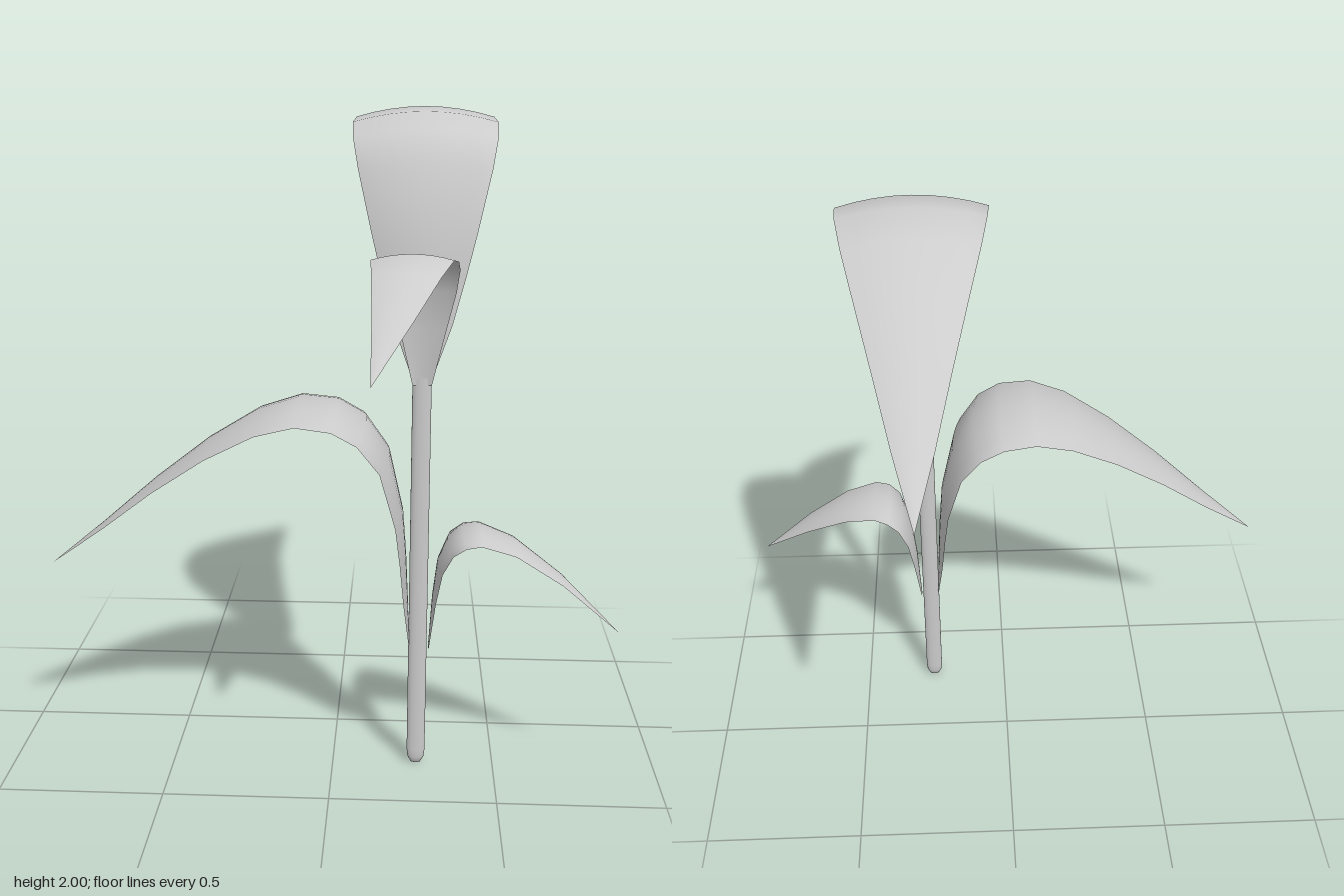
import * as THREE from 'three';

const material = new THREE.MeshStandardMaterial({ color: 0xcccccc, side: THREE.DoubleSide });

// Each ring of a blade: [sideways shift, height, reach along z, half width]
const LARGE = [
  [0, 1.23, -0.003, 0.028], [0, 1.39, -0.01, 0.085], [0, 1.53, -0.017, 0.122], [0, 1.656, -0.027, 0.152],
  [0, 1.84, -0.069, 0.193], [0, 1.937, -0.138, 0.21], [0, 1.985, -0.223, 0.213], [0, 1.997, -0.339, 0.206],
  [0, 1.958, -0.465, 0.186], [0, 1.868, -0.615, 0.148], [0, 1.746, -0.775, 0.102],
  [0, 1.61, -0.932, 0.055], [0, 1.476, -1.095, 0.001],
];
const SMALL = [
  [0, 1.22, 0.01, 0.026], [0, 1.39, 0.02, 0.067], [-0.005, 1.5, 0.033, 0.097], [-0.017, 1.575, 0.062, 0.117],
  [-0.026, 1.61, 0.105, 0.12], [-0.034, 1.62, 0.16, 0.114], [-0.05, 1.585, 0.265, 0.094],
  [-0.082, 1.49, 0.402, 0.056], [-0.135, 1.343, 0.562, 0.001],
];
const ACROSS = 8;

// Arched blade: its edges droop toward the inside of the bend
function blade(name, rings, dir, spread, baseWidth) {
  const positions = [], index = [];
  rings.forEach(([x, y, z, w], i) => {
    const a = rings[Math.max(i - 1, 0)], b = rings[Math.min(i + 1, rings.length - 1)];
    const length = Math.hypot(b[1] - a[1], b[2] - a[2]);
    const ny = -dir * (b[2] - a[2]) / length, nz = dir * (b[1] - a[1]) / length;
    const half = i === 0 ? baseWidth : w;
    for (let j = 0; j <= ACROSS; j++) {
      const u = (j / ACROSS) * 2 - 1;
      const droop = 0.15 * half * u * u;
      positions.push(x + u * half, y + ny * droop, z + dir * spread + nz * droop);
      if (i > 0 && j > 0) {
        const d = i * (ACROSS + 1) + j, c = d - 1, q = d - ACROSS - 1, p = q - 1;
        index.push(p, q, c, q, d, c);
      }
    }
  });
  const geometry = new THREE.BufferGeometry();
  geometry.setAttribute('position', new THREE.Float32BufferAttribute(positions, 3));
  // Front faces look to the outside of the bend
  if (dir < 0) index.reverse();
  geometry.setIndex(index);
  geometry.computeVertexNormals();
  const mesh = new THREE.Mesh(geometry, material);
  mesh.name = name;
  return mesh;
}

// A large and a small blade, facing opposite ways
function leafPair(name, spread, baseWidth) {
  const pair = new THREE.Group();
  pair.name = name;
  pair.add(blade('largeLeaf', LARGE, -1, spread, baseWidth));
  pair.add(blade('smallLeaf', SMALL, 1, spread, baseWidth));
  pair.position.set(0.26, 0, 0.265);
  return pair;
}

export function createModel() {
  const model = new THREE.Group();
  model.name = 'plant';

  // Flattened stem with a rounded foot
  const profile = [[0, 0], [0.015, 0.002], [0.025, 0.02], [0.028, 0.045], [0.028, 1.24], [0, 1.24]]
    .map(([r, y]) => new THREE.Vector2(r, y));
  const stem = new THREE.Mesh(new THREE.LatheGeometry(profile, 12), material);
  stem.name = 'stem';
  stem.scale.z = 0.45;
  stem.position.set(0.26, 0, 0.267);
  model.add(stem);

  // The lower pair is the upper one lowered and turned a quarter
  const upper = leafPair('upperLeaves', 0, 0.028);
  const lower = leafPair('lowerLeaves', 0.022, 0.015);
  lower.position.y = -0.828;
  lower.rotation.y = Math.PI / 2;
  model.add(upper, lower);
  return model;
}
